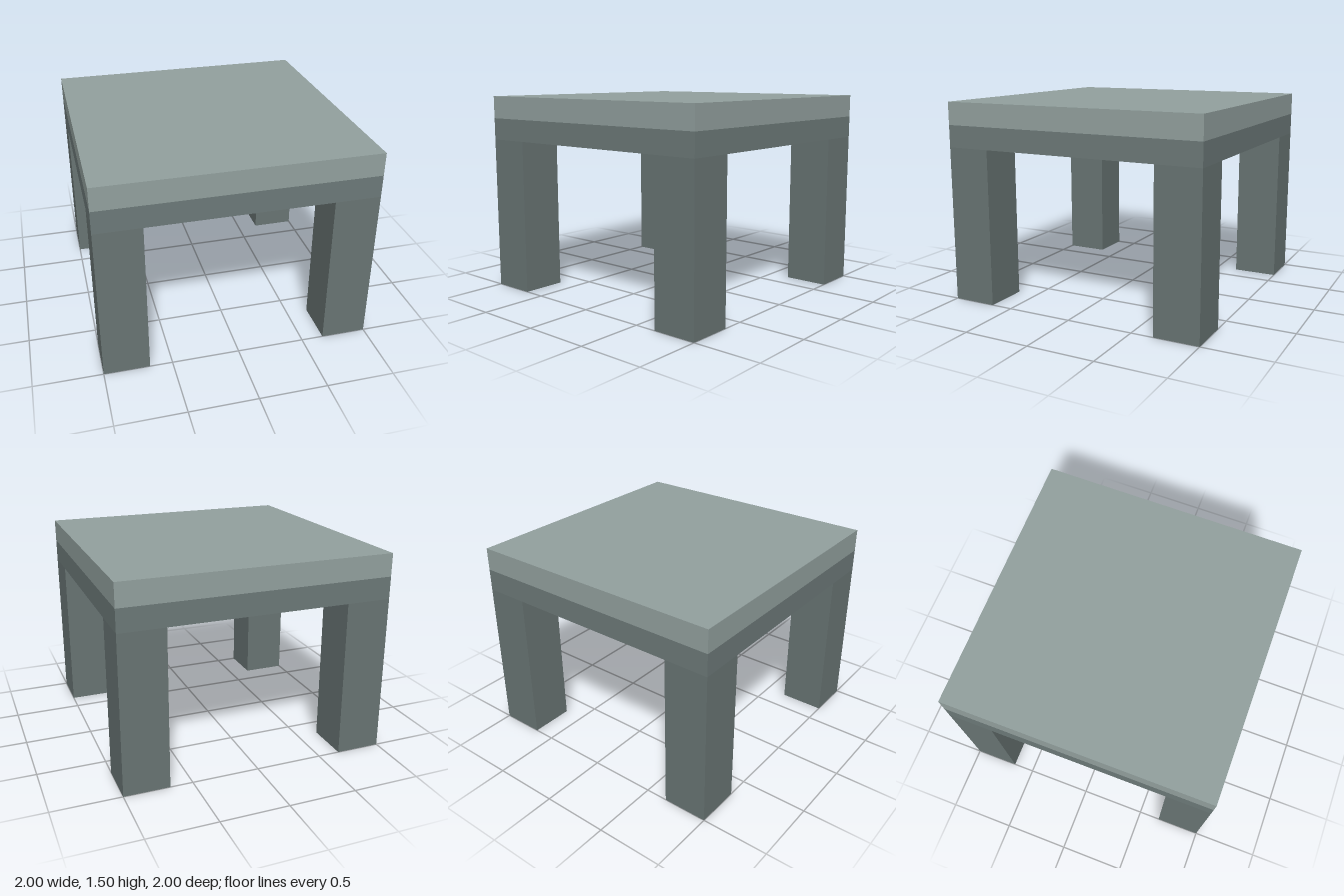
import * as THREE from 'three';

const TOP = 1.505, SLAB_BOTTOM = 1.335, RAIL_BOTTOM = 1.17;
const LEG = 0.335, RAIL = 0.167;

export function createModel() {
  const table = new THREE.Group();
  table.name = 'table';
  const slabMaterial = new THREE.MeshStandardMaterial({ color: 0x93a19f });
  const railMaterial = new THREE.MeshStandardMaterial({ color: 0x6d7a79 });
  const legMaterial = new THREE.MeshStandardMaterial({ color: 0x697574 });

  const add = (name, geometry, material, x, y, z) => {
    const mesh = new THREE.Mesh(geometry, material);
    mesh.name = name;
    mesh.position.set(x, y, z);
    table.add(mesh);
    return mesh;
  };

  // Table top slab
  const slabHeight = TOP - SLAB_BOTTOM;
  add('tableTop', new THREE.BoxGeometry(2, slabHeight, 2), slabMaterial, 0, SLAB_BOTTOM + slabHeight / 2, 0);

  // Square frame under the slab, open in the middle
  const outline = new THREE.Shape([[-1, -1], [1, -1], [1, 1], [-1, 1]].map(([x, y]) => new THREE.Vector2(x, y)));
  const inner = 1 - RAIL;
  outline.holes.push(new THREE.Path(
    [[-inner, -inner], [-inner, inner], [inner, inner], [inner, -inner]].map(([x, y]) => new THREE.Vector2(x, y))
  ));
  const frame = new THREE.ExtrudeGeometry(outline, { depth: SLAB_BOTTOM - RAIL_BOTTOM, bevelEnabled: false });
  frame.rotateX(-Math.PI / 2);
  add('apronFrame', frame, railMaterial, 0, RAIL_BOTTOM, 0);

  // Four square legs, flush with the outer corners and ending below the frame
  const legGeometry = new THREE.BoxGeometry(LEG, RAIL_BOTTOM, LEG);
  const offset = 1 - LEG / 2;
  for (const [end, z] of [['front', offset], ['back', -offset]]) {
    for (const [side, x] of [['Left', offset], ['Right', -offset]]) {
      add(`${end}${side}Leg`, legGeometry, legMaterial, x, RAIL_BOTTOM / 2, z);
    }
  }
  return table;
}
